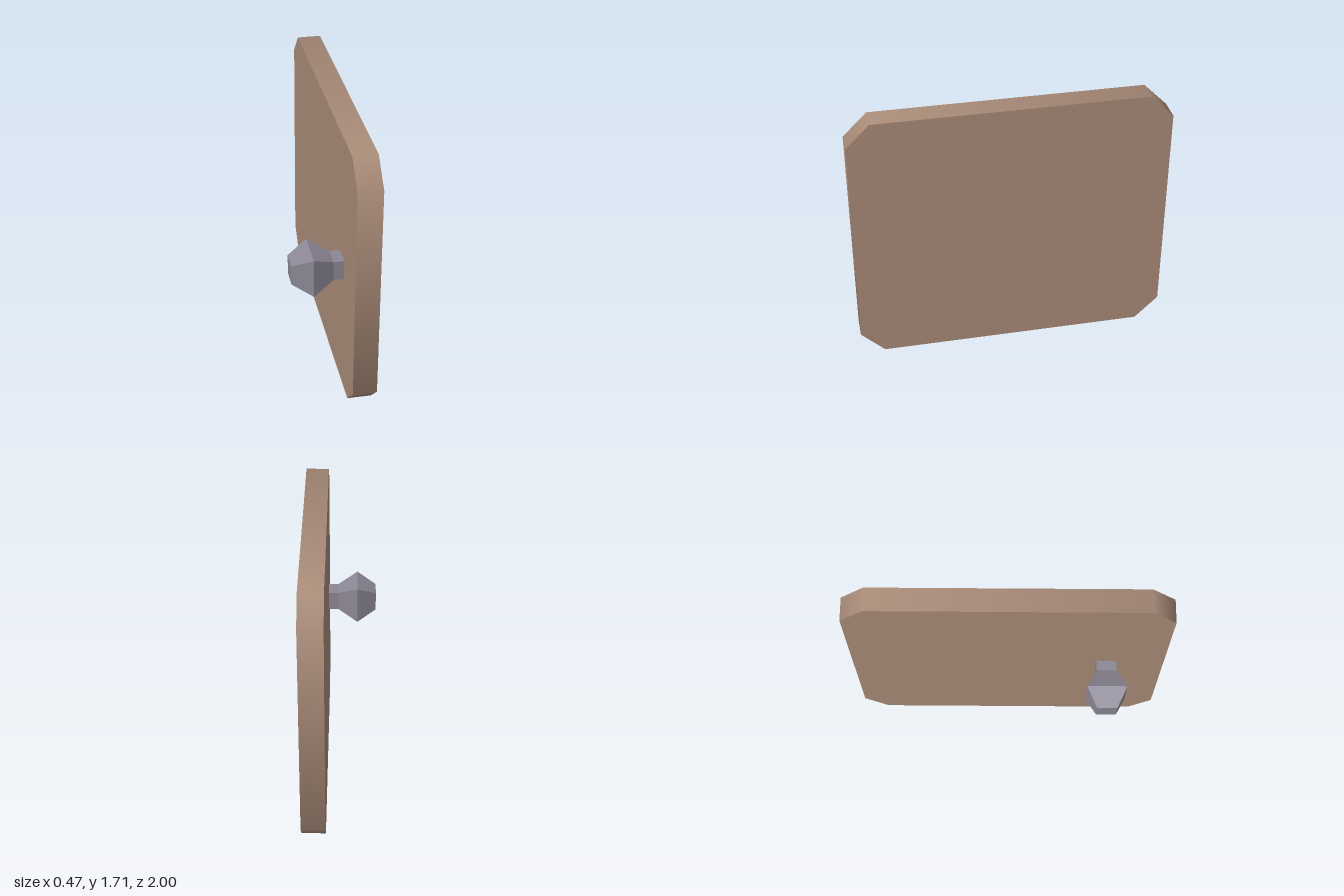
import * as THREE from 'three';

export function createModel() {
  const model = new THREE.Group();
  const wood = new THREE.MeshStandardMaterial({ color: 0xa98b78 });
  wood.name = 'warm brown wood';
  const metal = new THREE.MeshStandardMaterial({ color: 0x8c8795, flatShading: true });
  metal.name = 'grey violet metal';

  // Door panel: an eight-sided cylinder stretched to a clipped rectangle,
  // keeping its radial normals so the rim shades smoothly
  const halfH = 0.855, halfW = 1, clip = 0.15;
  const panelGeo = new THREE.CylinderGeometry(1, 1, 0.15, 8, 1, false, Math.PI / 8);
  panelGeo.rotateZ(-Math.PI / 2);
  const pos = panelGeo.attributes.position;
  for (let i = 0; i < pos.count; i++) {
    const y = pos.getY(i), z = pos.getZ(i);
    if (Math.hypot(y, z) < 0.5) continue; // cap centres
    const steep = Math.abs(y) > Math.abs(z);
    pos.setY(i, Math.sign(y) * (steep ? halfH : halfH - clip));
    pos.setZ(i, Math.sign(z) * (steep ? halfW - clip : halfW));
  }
  const panel = new THREE.Mesh(panelGeo, wood);
  panel.name = 'doorPanel';
  panel.position.set(0.16, halfH, 0);
  model.add(panel);

  // Square-section knob: [half width, distance along x]
  const profile = [[0, -0.235], [0.064, -0.235], [0.127, -0.11], [0.064, 0.02], [0.064, 0.09]];
  const knobGeo = new THREE.LatheGeometry(
    profile.map(([r, x]) => new THREE.Vector2(r * Math.SQRT2, x)), 4, Math.PI / 4);
  knobGeo.rotateZ(-Math.PI / 2);
  const knob = new THREE.Mesh(knobGeo, metal);
  knob.name = 'doorKnob';
  knob.position.set(0, 0.857, 0.631);
  model.add(knob);

  return model;
}
